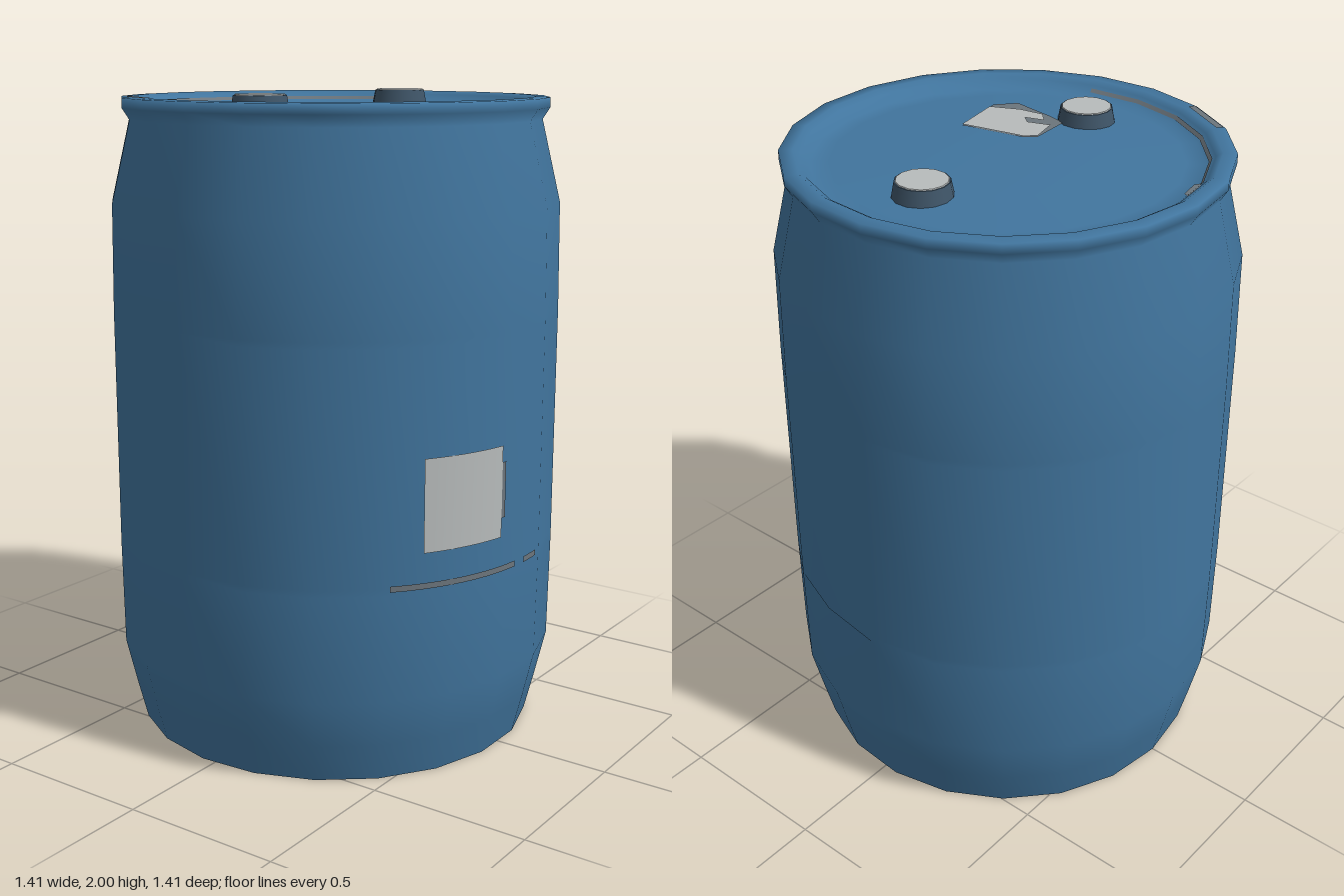
import * as THREE from 'three';
import { mergeVertices } from 'three/addons/utils/BufferGeometryUtils.js';

const SIDES = 21;
const STEP = (Math.PI * 2) / SIDES;
const RADIUS = 0.705;

const material = (name, color, side = THREE.FrontSide) => {
  const m = new THREE.MeshStandardMaterial({ color, side });
  m.name = name;
  return m;
};
const points = (list) => list.map(([x, y]) => new THREE.Vector2(x, y));
const lidHeight = (r) => 1.965 - 0.03 * r;

// Smooth shell: tapered ends, rolled rim and slightly domed recessed lid
function shellGeometry() {
  const profile = points([
    [0.635, 0], [0.665, 0.12], [0.7, 0.27], [RADIUS, 0.6], [RADIUS, 0.62],
    [RADIUS, 1.32], [RADIUS, 1.34], [0.7, 1.67], [0.64, 1.92], [0.662, 1.955],
    [0.662, 1.985], [0.62, 1.987], [0.6, 1.975], [0.575, lidHeight(0.575)],
    [0.52, lidHeight(0.52)], [0.3, lidHeight(0.3)], [0, lidHeight(0)],
  ]);
  const lathe = new THREE.LatheGeometry(profile, SIDES, Math.PI);
  lathe.deleteAttribute('uv');
  lathe.deleteAttribute('normal');
  const geo = mergeVertices(lathe, 1e-4);
  // Two shallow hand grips on the left side
  const p = geo.attributes.position;
  for (let i = 0; i < p.count; i++) {
    const y = p.getY(i);
    const gripRow = Math.abs(y - 1.34) < 0.005 || Math.abs(y - 0.6) < 0.005;
    if (gripRow && p.getX(i) > 0.5 && p.getZ(i) > 0.1 && p.getZ(i) < 0.25) {
      p.setX(i, p.getX(i) - 0.025);
    }
  }
  geo.computeVertexNormals();
  return geo;
}

// Thin patch that follows the flat-sided wall at the front
function wallPatch(x0, x1, y0, y1) {
  const geo = new THREE.PlaneGeometry(x1 - x0, y1 - y0, 10, 1);
  geo.translate((x0 + x1) / 2, (y0 + y1) / 2, 0);
  const p = geo.attributes.position;
  for (let i = 0; i < p.count; i++) {
    const x = p.getX(i);
    p.setZ(i, Math.sqrt(RADIUS * RADIUS - x * x) + 0.003);
  }
  geo.computeVertexNormals();
  return geo;
}

// Flat outline in x and z, draped over the lid
function lidPatch(outline, lift) {
  const geo = new THREE.ShapeGeometry(new THREE.Shape(points(outline.map(([x, z]) => [x, -z]))));
  geo.rotateX(-Math.PI / 2);
  const p = geo.attributes.position;
  for (let i = 0; i < p.count; i++) p.setY(i, lidHeight(Math.hypot(p.getX(i), p.getZ(i))) + lift);
  geo.computeVertexNormals();
  return geo;
}

export function createModel() {
  const blue = material('barrel blue', 0x41759e);
  const pale = material('pale grey', 0xb8bcbc, THREE.DoubleSide);
  const scuff = material('scuff grey', 0x6c757c, THREE.DoubleSide);
  const slate = material('dark slate', 0x3f5568);

  const group = new THREE.Group();
  group.name = 'barrel';
  const add = (name, geometry, mat) => {
    const mesh = new THREE.Mesh(geometry, mat);
    mesh.name = name;
    group.add(mesh);
    return mesh;
  };

  add('shell', shellGeometry(), blue);

  // Flat underside, with a corner at the back like the shell
  const base = new THREE.CircleGeometry(0.635, SIDES, Math.PI / 2);
  base.rotateX(Math.PI / 2);
  base.rotateY(Math.PI);
  add('base', base, blue);

  // Two bungs on the lid
  for (const x of [-0.375, 0.365]) {
    const side = x < 0 ? 'right' : 'left';
    add(`${side}BungRing`, new THREE.CylinderGeometry(0.08, 0.09, 0.05, 14), slate)
      .position.set(x, 1.972, 0);
    add(`${side}BungCap`, new THREE.CylinderGeometry(0.075, 0.078, 0.006, 14), pale)
      .position.set(x, 1.997, 0);
  }

  // Wall label and the scrapes beneath it
  add('wallLabel', wallPatch(-0.39, -0.13, 0.72, 1.0), pale);
  add('wallLabelEdge', wallPatch(-0.13, -0.115, 0.78, 0.95), scuff);
  add('longScrape', wallPatch(-0.47, -0.06, 0.612, 0.63), scuff);
  add('shortScrape', wallPatch(-0.01, 0.07, 0.612, 0.63), scuff);

  // Torn label on the lid
  add('lidLabelBacking', lidPatch([
    [-0.3, 0.03], [-0.15, 0.01], [-0.12, 0.04], [-0.085, 0.25], [-0.29, 0.3], [-0.35, 0.25], [-0.32, 0.1],
  ], 0.003), scuff);
  add('lidLabel', lidPatch([
    [-0.31, 0.12], [-0.27, 0.08], [-0.25, 0.14], [-0.225, 0.11], [-0.25, 0.04],
    [-0.15, 0.01], [-0.12, 0.04], [-0.085, 0.25], [-0.26, 0.29], [-0.3, 0.2],
  ], 0.007), pale);

  // Wear marks around the rim
  const wear = (name, profile, first, count) =>
    add(name, new THREE.LatheGeometry(points(profile), count, Math.PI + first * STEP, count * STEP), scuff);
  wear('innerRimWear', [[0.59, 1.968], [0.581, 1.958]], -5, 11);
  wear('outerRimWear', [[0.655, 1.989], [0.632, 1.99]], 3, 1);
  add('lidScuff', lidPatch([
    [-0.2, -0.55], [-0.16, -0.57], [-0.09, -0.575], [-0.1, -0.55], [-0.17, -0.535],
  ], 0.006), scuff);

  return group;
}
